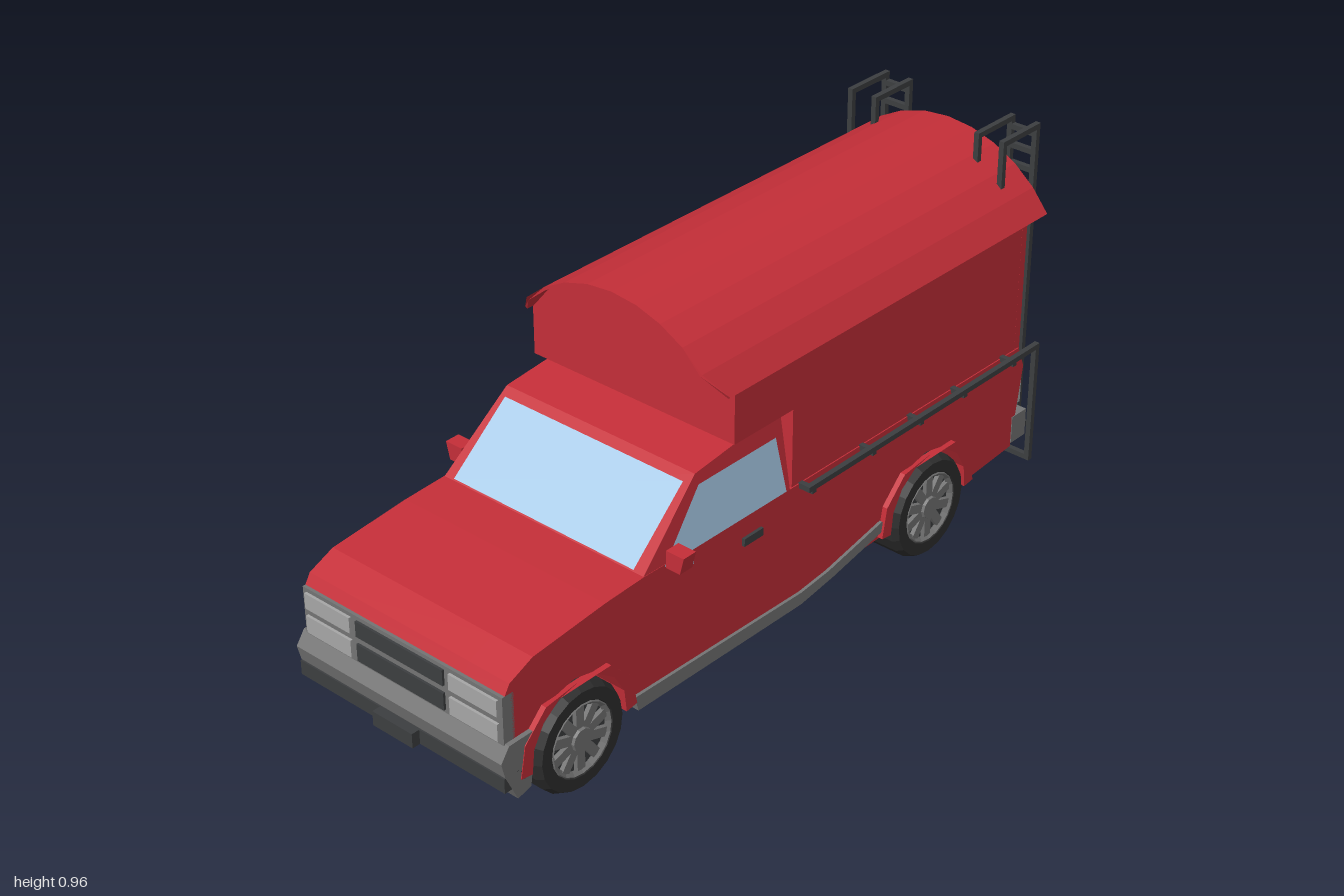
import * as THREE from 'three';

const mat = (color, side = THREE.FrontSide) => new THREE.MeshStandardMaterial({ color, side, flatShading: true });
const RED = mat(0xc42e38), DARK = mat(0x3c3e40), GREY = mat(0x747474), LIGHT = mat(0xa6a6a6);
const GLASS = mat(0xa8cae6, THREE.DoubleSide), TYRE = mat(0x2e2e2e);

export function createModel() {
  const model = new THREE.Group();
  const add = (name, geo, material, parent = model) => {
    const m = new THREE.Mesh(geo, material);
    m.name = name;
    parent.add(m);
    return m;
  };
  // box given by its limits
  const box = (name, x0, x1, y0, y1, z0, z1, material, parent) => {
    const g = new THREE.BoxGeometry(x1 - x0, y1 - y0, z1 - z0);
    g.translate((x0 + x1) / 2, (y0 + y1) / 2, (z0 + z1) / 2);
    return add(name, g, material, parent);
  };
  const toShape = pts => new THREE.Shape(pts.map(p => new THREE.Vector2(...p)));
  // side profile of [z, y] points carried across from x0 to x1
  const across = (shape, x0, x1) => {
    const g = new THREE.ExtrudeGeometry(shape, { depth: x1 - x0, bevelEnabled: false });
    return g.rotateY(-Math.PI / 2).translate(x1, 0, 0);
  };
  // front profile of [x, y] points carried along from z0 to z1
  const along = (shape, z0, z1) =>
    new THREE.ExtrudeGeometry(shape, { depth: z1 - z0, bevelEnabled: false }).translate(0, 0, z0);
  const quad = (name, pts, material) => {
    const g = new THREE.BufferGeometry();
    g.setAttribute('position', new THREE.Float32BufferAttribute(pts.flat(), 3));
    g.setIndex([0, 1, 2, 0, 2, 3]);
    g.computeVertexNormals();
    return add(name, g, material);
  };
  const SIDES = [-1, 1], AXLES = [0.75, -0.475];

  // ---- lower body: hood core, load floor, side panels with wheel arches
  const hoodTop = [[0.955, 0.355], [0.94, 0.38], [0.87, 0.41], [0.65, 0.43], [0.53, 0.435]];
  add('hoodAndCabCore', across(toShape([[0.03, 0.12], [0.93, 0.12], [0.955, 0.2], ...hoodTop, [0.03, 0.425]]), -0.19, 0.19), RED);
  box('loadFloor', -0.19, 0.19, 0.12, 0.19, -0.84, 0.03, RED);
  const arch = (zc, r) => Array.from({ length: 9 }, (_, i) => {
    const a = -0.1 + (Math.PI + 0.2) * i / 8;
    return [zc - r * Math.cos(a), 0.14 + r * Math.sin(a)];
  });
  const panel = toShape([[-0.83, 0.14], [-0.64, 0.125], ...arch(-0.475, 0.147), [-0.3, 0.125],
    [0, 0.12], [0.58, 0.12], ...arch(0.75, 0.147), [0.93, 0.13], [0.955, 0.2], ...hoodTop,
    [0.03, 0.425], [-0.84, 0.42], [-0.865, 0.36]]);
  add('rightSidePanel', across(panel, -0.308, -0.19), RED);
  add('leftSidePanel', across(panel, 0.19, 0.308), RED);

  // ---- cab, narrowing towards its roof
  const cab = across(toShape([[0.54, 0.425], [0.34, 0.6], [0.2, 0.615], [0.05, 0.62], [0.04, 0.425]]), -0.308, 0.308);
  const cp = cab.attributes.position;
  const cabX = y => 0.308 - (y - 0.425) * 0.12;
  for (let i = 0; i < cp.count; i++) cp.setX(i, Math.sign(cp.getX(i)) * cabX(cp.getY(i)));
  cab.computeVertexNormals();
  add('cab', cab, RED);
  quad('windshield', [[-0.277, 0.44, 0.528], [0.277, 0.44, 0.528], [0.272, 0.585, 0.362], [-0.272, 0.585, 0.362]], GLASS);
  for (const s of SIDES) {
    const pts = [[0.465, 0.43], [0.335, 0.573], [0.075, 0.573], [0.055, 0.428]];
    quad('sideWindow', pts.map(([z, y]) => [s * (cabX(y) + 0.003), y, z]), GLASS);
  }

  // ---- fenders, sills, handles, mirrors, tail lights
  const flare = zc => toShape([[0.18, 0.13], [0.165, 0.21], [0.1, 0.275], [-0.1, 0.275], [-0.165, 0.21], [-0.18, 0.13]]
    .map(([z, y]) => [zc + z, y]).concat(arch(zc, 0.147)));
  const sill = toShape([[0.57, 0.14], [0, 0.125], [-0.1, 0.135], [-0.3, 0.175], [-0.32, 0.15], [-0.12, 0.11], [0, 0.092], [0.56, 0.1]]);
  for (const s of SIDES) {
    const span = (a, b) => s > 0 ? [a, b] : [-b, -a];
    for (const zc of AXLES) add('fenderFlare', across(flare(zc), ...span(0.3, 0.322)), RED);
    add('sill', across(sill, ...span(0.24, 0.316)), GREY);
    box('doorHandle', ...span(0.305, 0.316), 0.355, 0.375, 0.14, 0.205, DARK);
    box('mirrorArm', ...span(0.29, 0.335), 0.42, 0.44, 0.42, 0.45, RED);
    const housing = along(toShape([[0.315, 0.43], [0.355, 0.43], [0.366, 0.475], [0.315, 0.475]].map(([x, y]) => [s * x, y])), 0.425, 0.465);
    add('mirrorHousing', housing, RED);
    box('mirrorGlass', ...span(0.322, 0.355), 0.437, 0.468, 0.42, 0.425, GLASS);
    box('tailLight', ...span(0.255, 0.3), 0.25, 0.34, -0.872, -0.83, LIGHT);
  }

  // ---- front end
  box('grillePanel', -0.308, 0.308, 0.225, 0.355, 0.93, 0.963, GREY);
  for (const [y0, y1] of [[0.24, 0.285], [0.304, 0.345]]) {
    box('grille', -0.135, 0.135, y0, y1, 0.95, 0.969, DARK);
    for (const s of SIDES) box('headlight', s * 0.225 - 0.072, s * 0.225 + 0.072, y0, y1, 0.95, 0.97, LIGHT);
  }
  add('frontBumper', across(toShape([[0.88, 0.235], [0.96, 0.235], [0.985, 0.2], [0.975, 0.16], [0.94, 0.085], [0.9, 0.095]]), -0.32, 0.32), GREY);
  box('bumperStrip', -0.32, 0.32, 0.12, 0.158, 0.91, 0.978, DARK);
  box('frontPlate', -0.062, 0.062, 0.12, 0.158, 0.92, 1.0, DARK);

  // ---- wheels
  for (const zc of AXLES) for (const s of SIDES) {
    const wheel = new THREE.Group();
    wheel.name = 'wheel';
    const profile = [[0.09, 0.055], [0.095, 0.062], [0.125, 0.062], [0.135, 0.045], [0.135, -0.05], [0.12, -0.065], [0, -0.065]];
    const tyre = new THREE.LatheGeometry(profile.reverse().map(p => new THREE.Vector2(...p)), 20);
    add('tyre', tyre, TYRE, wheel);
    add('rimDisc', new THREE.CylinderGeometry(0.095, 0.095, 0.03, 20).translate(0, 0.03, 0), DARK, wheel);
    add('rimRing', new THREE.TorusGeometry(0.09, 0.01, 4, 20).rotateX(Math.PI / 2).translate(0, 0.052, 0), GREY, wheel);
    add('hub', new THREE.CylinderGeometry(0.028, 0.032, 0.02, 10).translate(0, 0.053, 0), GREY, wheel);
    for (let i = 0; i < 10; i++) {
      const spoke = new THREE.BoxGeometry(0.07, 0.012, 0.024).translate(0.055, 0.05, 0).rotateY(i * Math.PI / 5);
      add('spoke', spoke, GREY, wheel);
    }
    wheel.rotation.z = -s * Math.PI / 2;
    wheel.position.set(s * 0.267, 0.136, zc);
    model.add(wheel);
  }

  // ---- camper: arched roof, walls, front overhang, rear wall with doorway
  const arc = (off, half) => Array.from({ length: 11 }, (_, i) => {
    const a = half * (1 - i / 5), r = 0.374 + off;
    return [r * Math.sin(a), 0.551 + r * Math.cos(a)];
  });
  const HALF = 0.978;
  const roof = along(toShape([...arc(0, HALF), ...arc(-0.008, HALF).reverse()]), -0.92, 0.29);
  const rp = roof.attributes.position;
  for (let i = 0; i < rp.count; i++) if (rp.getY(i) < 0.775 && rp.getZ(i) > 0) rp.setZ(i, 0.25);
  roof.computeVertexNormals();
  add('camperRoof', roof, RED);
  const under = arc(-0.006, HALF);
  add('camperOverhang', along(toShape([[-0.305, 0.63], [0.305, 0.63], ...under]), 0.025, 0.23), RED);
  box('camperFrontWall', -0.305, 0.305, 0.42, 0.64, 0.01, 0.03, RED);
  const rear = toShape([[-0.305, 0.15], [0.305, 0.15], ...under]);
  rear.holes.push(new THREE.Path([[-0.16, 0.19], [-0.16, 0.63], [0.16, 0.63], [0.16, 0.19]].map(p => new THREE.Vector2(...p))));
  add('camperRearWall', along(rear, -0.845, -0.825), RED);
  for (const s of SIDES) box('camperSideWall', s * 0.299 - 0.006, s * 0.299 + 0.006, 0.41, 0.765, -0.842, 0.03, RED);
  box('bench', 0.09, 0.19, 0.31, 0.41, -0.78, -0.2, GREY);

  // ---- rear bumper
  for (const s of SIDES) box('rearBumperEnd', s * 0.235 - 0.075, s * 0.235 + 0.075, 0.15, 0.225, -0.888, -0.83, GREY);
  box('rearBumperMiddle', -0.16, 0.16, 0.15, 0.195, -0.888, -0.83, GREY);
  box('rearPlate', -0.05, 0.05, 0.158, 0.188, -0.892, -0.88, DARK);

  // ---- side rails and rear platform
  const T = 0.007;
  const bar = (name, [x0, y0, z0], [x1, y1, z1]) => box(name,
    Math.min(x0, x1) - T, Math.max(x0, x1) + T, Math.min(y0, y1) - T, Math.max(y0, y1) + T,
    Math.min(z0, z1) - T, Math.max(z0, z1) + T, DARK);
  for (const s of SIDES) {
    const x = s * 0.34;
    bar('sideRail', [x, 0.428, 0.01], [x, 0.428, -0.865]);
    bar('railPost', [x, 0.428, -0.865], [x, 0.107, -0.865]);
    for (const z of [0, -0.22, -0.4, -0.57, -0.77]) bar('railBracket', [x, 0.42, z], [s * 0.3, 0.42, z]);
  }
  bar('platformCrossBar', [-0.34, 0.107, -0.865], [0.34, 0.107, -0.865]);
  for (let i = 1; i < 6; i++) bar('platformSlat', [-0.235, 0.107, -0.865 - i * 0.0255], [0.235, 0.107, -0.865 - i * 0.0255]);
  for (const x of [-0.23, 0, 0.23]) bar('platformBearer', [x, 0.105, -0.865], [x, 0.105, -0.992]);

  // ---- ladders hooked over the roof
  for (const s of SIDES) {
    for (const x of [0.157, 0.231]) {
      bar('ladderUpright', [s * x, 0.107, -0.965], [s * x, 0.955, -0.965]);
      bar('ladderHook', [s * x, 0.955, -0.965], [s * x, 0.955, -0.83]);
      bar('ladderHookEnd', [s * x, 0.955, -0.83], [s * x, x < 0.2 ? 0.885 : 0.845, -0.83]);
    }
    for (let i = 0; i < 17; i++) {
      const y = 0.15 + i * 0.049;
      bar('ladderRung', [s * 0.157, y, -0.965], [s * 0.231, y, -0.965]);
    }
  }
  return model;
}
